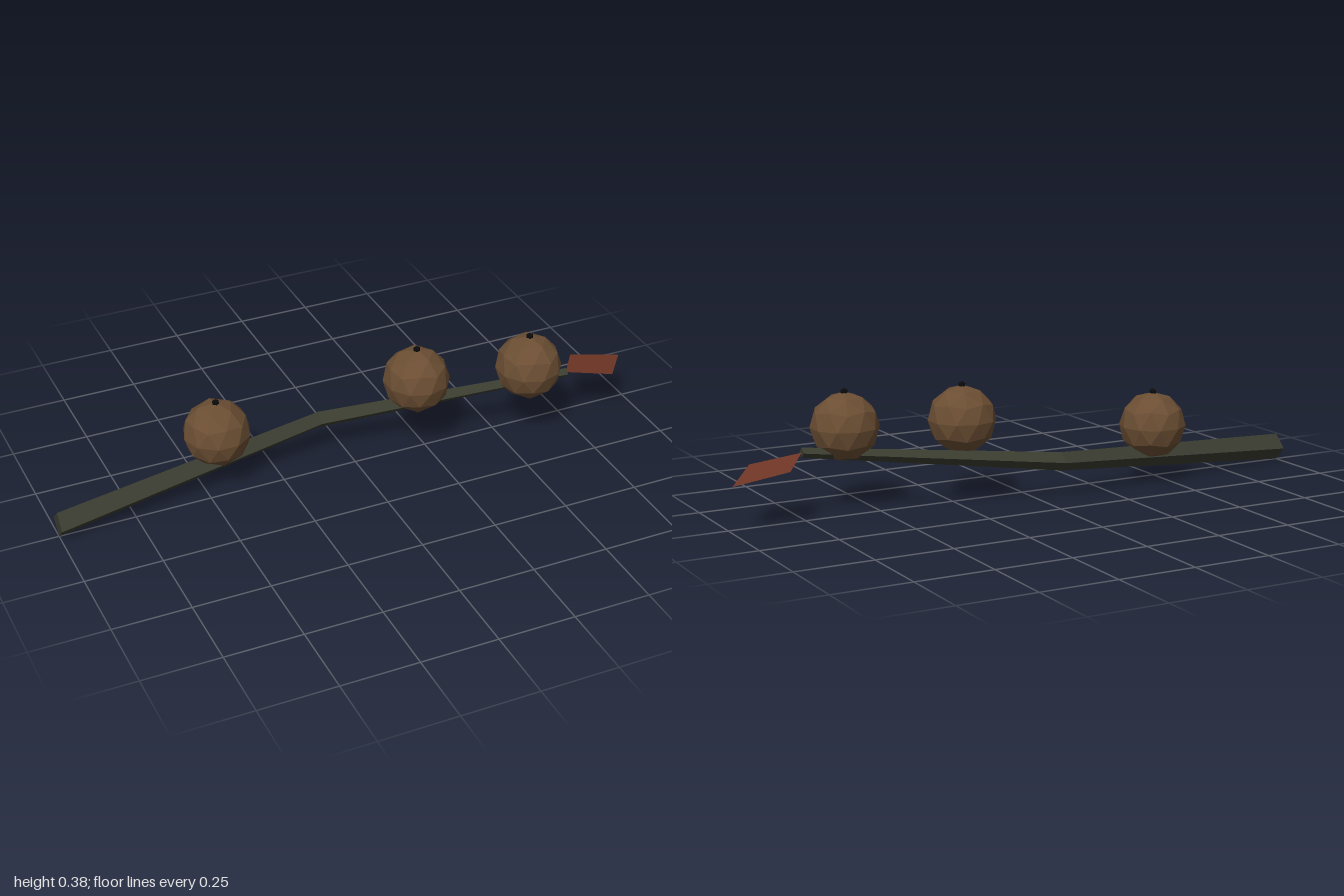
import * as THREE from 'three';

const flat = (name, color, side = THREE.FrontSide) =>
  Object.assign(new THREE.MeshStandardMaterial({ color, flatShading: true, side }), { name });

function fromTriangles(points) {
  const geo = new THREE.BufferGeometry();
  geo.setAttribute('position', new THREE.Float32BufferAttribute(points.flat(), 3));
  geo.computeVertexNormals();
  return geo;
}

// Tapering four-sided stick through rings [x, y, z, radius]
function stickGeometry(rings) {
  const corner = ([x, y, z, r], k) => {
    const a = (k % 4) * Math.PI / 2;
    return [x, y + r * Math.cos(a), z + r * Math.sin(a)];
  };
  const tris = [];
  for (let i = 0; i < rings.length - 1; i++) {
    for (let k = 0; k < 4; k++) {
      const a = corner(rings[i], k), b = corner(rings[i], k + 1);
      const c = corner(rings[i + 1], k + 1), d = corner(rings[i + 1], k);
      tris.push(a, b, c, a, c, d);
    }
  }
  const last = rings[rings.length - 1];
  for (const k of [0, 2, 1, 0, 3, 2]) tris.push(corner(rings[0], k));
  for (const k of [0, 1, 2, 0, 2, 3]) tris.push(corner(last, k));
  return fromTriangles(tris);
}

export function createModel() {
  const bark = flat('dark bark', 0x3a3c30);
  const skin = flat('brown berry', 0x6b4e33);
  const black = flat('black tip', 0x0a0a0a);
  const red = flat('red leaf', 0x703625, THREE.DoubleSide);

  const model = new THREE.Group();
  model.name = 'berryTwig';
  const add = (parent, name, geo, mat) => {
    const mesh = new THREE.Mesh(geo, mat);
    mesh.name = name;
    parent.add(mesh);
    return mesh;
  };

  // Bent twig
  add(model, 'twig', stickGeometry([
    [-1, 0.044, 0, 0.044],
    [-0.08, 0.116, -0.115, 0.03],
    [0.73, 0.196, 0.07, 0.016],
  ]), bark);

  // Berries with a vertex pointing up, each with a small tip
  const radius = 0.109;
  const berryGeo = new THREE.IcosahedronGeometry(radius, 1);
  berryGeo.rotateZ(-Math.atan(2 / (1 + Math.sqrt(5))));
  const tipGeo = new THREE.IcosahedronGeometry(0.0125, 0);
  tipGeo.rotateZ(-Math.atan(2 / (1 + Math.sqrt(5))));
  const berries = [
    [-0.445, 0.19, -0.075, Math.PI / 10],
    [0.215, 0.262, 0, 0],
    [0.583, 0.262, 0.075, 0],
  ];
  for (const [x, y, z, turn] of berries) {
    const group = new THREE.Group();
    group.name = 'berry';
    group.position.set(x, y, z);
    group.rotation.y = turn;
    add(group, 'berryBody', berryGeo, skin);
    add(group, 'berryTip', tipGeo, black).position.y = radius;
    model.add(group);
  }

  // Leaf of two triangles meeting along the midrib
  const base = [0.73, 0.196, 0.07], tip = [0.995, 0.141, -0.033];
  const sideFront = [0.887, 0.169, 0.107], sideBack = [0.82, 0.172, -0.058];
  add(model, 'leaf', fromTriangles([base, sideFront, tip, base, tip, sideBack]), red);

  return model;
}
